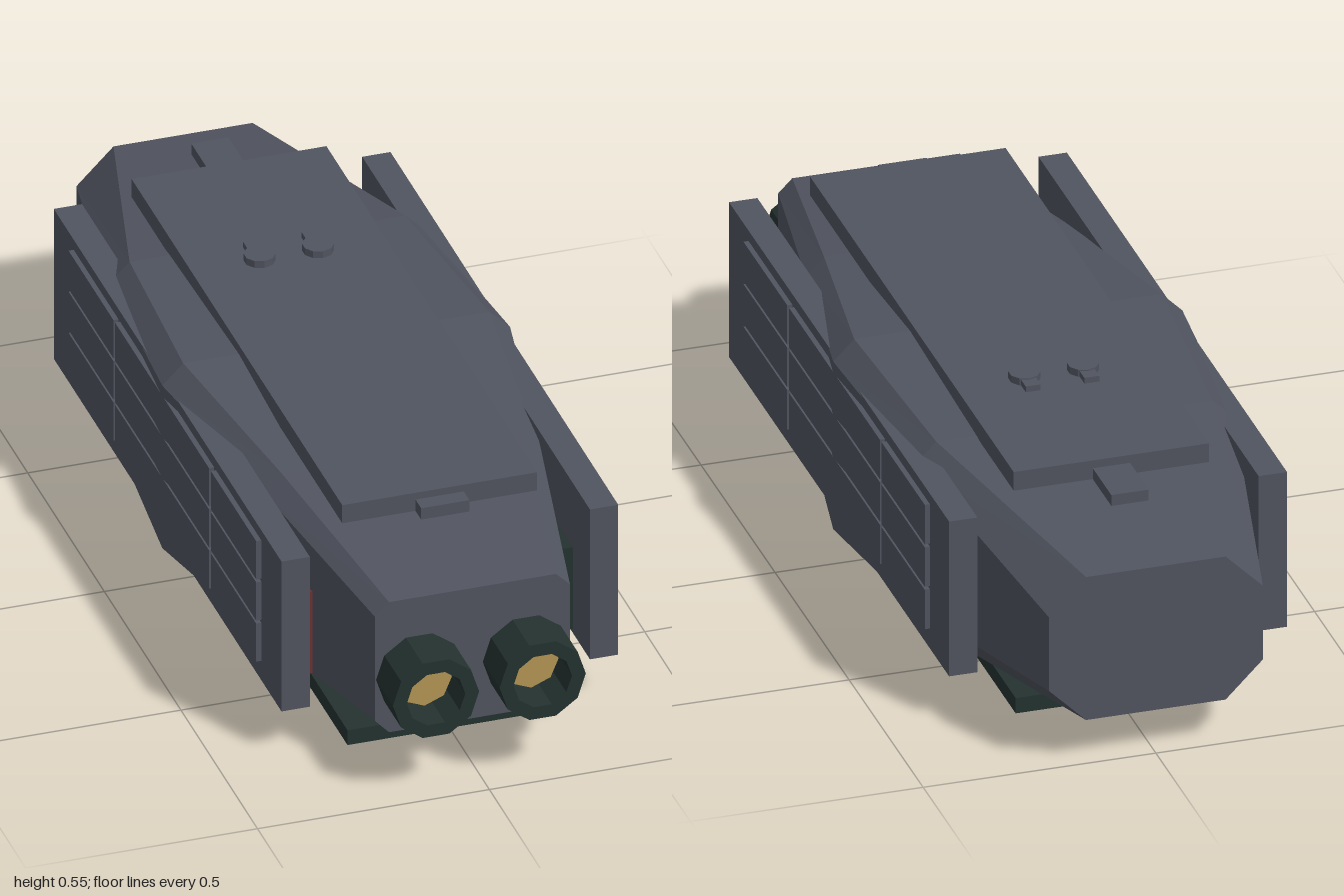
import * as THREE from 'three';

const mat = (name, color) => {
  const m = new THREE.MeshStandardMaterial({ color });
  m.name = name;
  return m;
};

export function createModel() {
  const group = new THREE.Group();
  const grey = mat('hullGrey', 0x50545f);
  const green = mat('darkGreen', 0x243230);
  const red = mat('portRed', 0x6c3232);
  const gold = mat('nozzleGold', 0xb39555);

  const add = (name, geo, material, parent = group) => {
    const mesh = new THREE.Mesh(geo, material);
    mesh.name = name;
    parent.add(mesh);
    return mesh;
  };
  // Box given by its limits on each axis
  const box = (name, material, x0, x1, y0, y1, z0, z1, parent) => {
    const geo = new THREE.BoxGeometry(Math.abs(x1 - x0), y1 - y0, z1 - z0);
    geo.translate((x0 + x1) / 2, (y0 + y1) / 2, (z0 + z1) / 2);
    return add(name, geo, material, parent);
  };

  // Hull: octagonal sections from front to back
  // z, side half-width, flat half-width, bottom, side bottom, side top, top
  const sections = [
    [0.89, 0.21, 0.18, 0.108, 0.14, 0.388, 0.418],
    [0.43, 0.298, 0.258, 0.06, 0.098, 0.44, 0.477],
    [0, 0.375, 0.33, 0.037, 0.08, 0.467, 0.512],
    [-0.45, 0.342, 0.297, 0.055, 0.115, 0.45, 0.493],
    [-1, 0.23, 0.15, 0.1, 0.18, 0.35, 0.43],
  ].map(([z, s, t, b, sb, st, top]) => [
    [s, sb, z], [s, st, z], [t, top, z], [-t, top, z],
    [-s, st, z], [-s, sb, z], [-t, b, z], [t, b, z],
  ]);
  const pos = [];
  const tri = (a, b, c) => pos.push(...a, ...b, ...c);
  for (let k = 0; k < sections.length - 1; k++) {
    const f = sections[k], r = sections[k + 1];
    for (let i = 0; i < 8; i++) {
      const j = (i + 1) % 8;
      tri(f[i], r[i], r[j]);
      tri(f[i], r[j], f[j]);
    }
  }
  const front = sections[0], back = sections[sections.length - 1];
  for (let i = 1; i < 7; i++) {
    tri(front[0], front[i], front[i + 1]);
    tri(back[0], back[i + 1], back[i]);
  }
  const hull = new THREE.BufferGeometry();
  hull.setAttribute('position', new THREE.Float32BufferAttribute(pos, 3));
  hull.computeVertexNormals();
  add('hull', hull, grey);

  // Roof deck with front and rear tabs, and belly plate
  box('roofDeck', grey, -0.21, 0.21, 0.49, 0.533, -0.70, 0.675);
  box('frontRoofTab', grey, -0.052, 0.052, 0.49, 0.517, 0.66, 0.712);
  box('rearRoofTab', grey, -0.04, 0.04, 0.49, 0.515, -0.825, -0.69);
  box('bellyPlate', green, -0.22, 0.22, 0, 0.035, -0.745, 0.74);

  for (const side of [-1, 1]) {
    const label = side > 0 ? 'left' : 'right';

    // Side slab with a grid of raised armour tiles
    const armour = new THREE.Group();
    armour.name = label + 'Armour';
    group.add(armour);
    box('sideSlab', grey, side * 0.302, side * 0.363, 0.108, 0.465, -0.745, 0.742, armour);
    for (const [z0, z1] of [[-0.615, -0.322], [-0.312, 0.302], [0.314, 0.61]]) {
      for (let row = 0; row < 3; row++) {
        const y = 0.154 + row * 0.098;
        box('armourTile', grey, side * 0.36, side * 0.374, y, y + 0.091, z0, z1, armour);
      }
    }

    // Coloured marker block between the hull and the slab
    box(label + 'Marker', side < 0 ? red : green,
      side * 0.258, side * 0.304, 0.117, 0.312, 0.38, 0.63);

    // Ten-sided engine nozzle with a recessed glowing plate
    const engine = new THREE.Group();
    engine.name = label + 'Engine';
    engine.position.set(side * 0.115, 0.238, 0);
    group.add(engine);
    const profile = [[0.063, 0.88], [0.093, 0.88], [0.093, 1], [0.063, 1], [0.063, 0.88]]
      .map(([r, z]) => new THREE.Vector2(r, z));
    const ring = new THREE.LatheGeometry(profile, 10).toNonIndexed();
    ring.rotateX(Math.PI / 2);
    ring.rotateZ(Math.PI / 2);
    ring.computeVertexNormals();
    add('nozzleRing', ring, green, engine);
    const glow = new THREE.CylinderGeometry(0.059, 0.059, 0.04, 8).toNonIndexed();
    glow.rotateX(Math.PI / 2);
    glow.translate(0, 0, 0.905);
    glow.computeVertexNormals();
    add('nozzleGlow', glow, gold, engine);

    // Small roof turret with a short rear-facing barrel
    const turret = new THREE.Group();
    turret.name = label + 'Turret';
    turret.position.set(side * 0.063, 0, -0.31);
    group.add(turret);
    const drum = new THREE.CylinderGeometry(0.033, 0.033, 0.02, 10).toNonIndexed();
    drum.translate(0, 0.539, 0);
    drum.computeVertexNormals();
    add('turretDrum', drum, grey, turret);
    box('turretBarrel', grey, -0.016, 0.016, 0.53, 0.546, -0.06, 0, turret);
  }
  return group;
}
